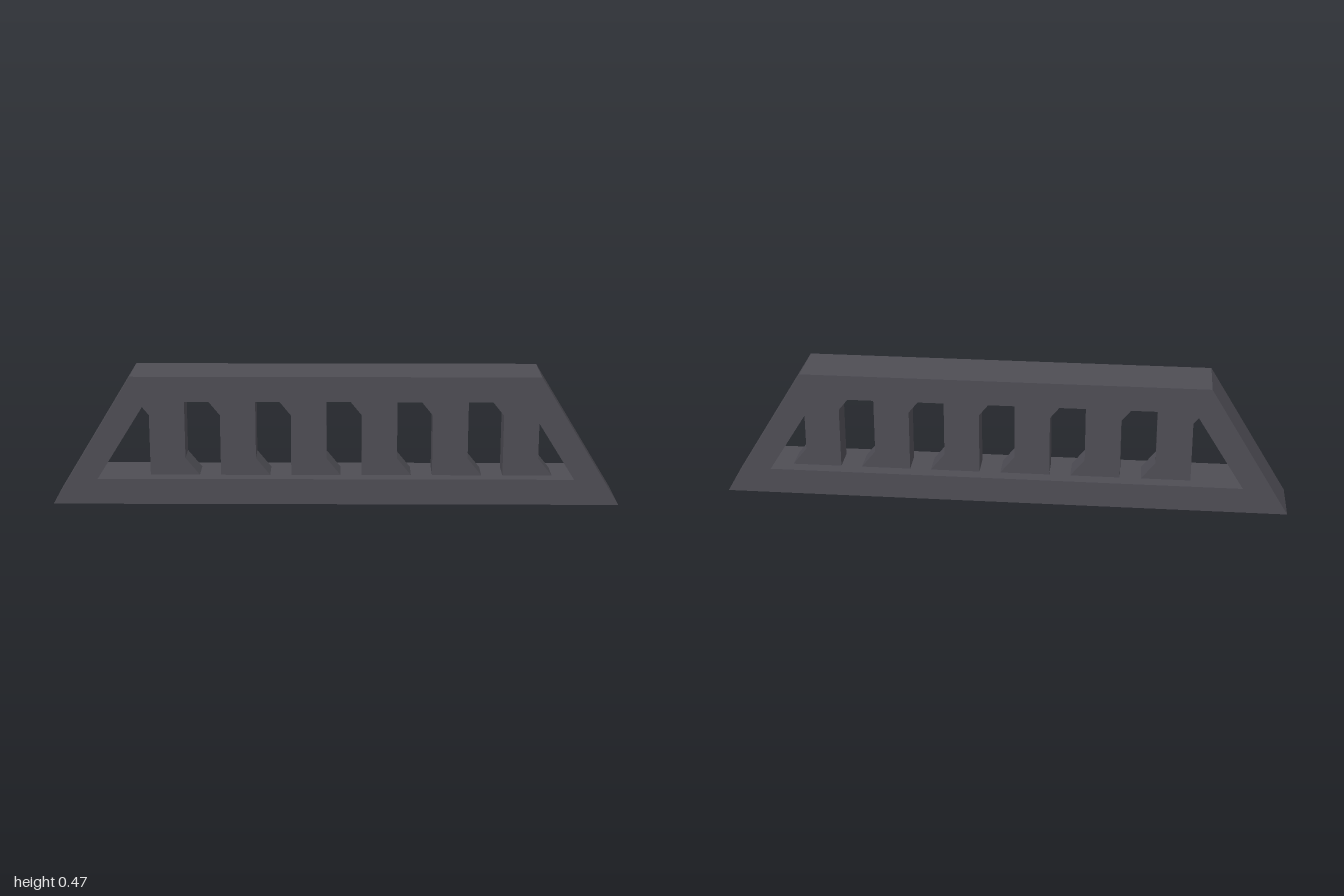
import * as THREE from 'three';

const material = new THREE.MeshStandardMaterial({ color: 0x4e4d54, flatShading: true });

// Closed outline from corner points
const outline = (pts, Type = THREE.Shape) => new Type(pts.map(([x, y]) => new THREE.Vector2(x, y)));

// Extrusion centred on z = 0
function slab(shape, depth, name) {
  const geometry = new THREE.ExtrudeGeometry(shape, { depth, bevelEnabled: false });
  geometry.translate(0, 0, -depth / 2);
  const mesh = new THREE.Mesh(geometry, material);
  mesh.name = name;
  return mesh;
}

export function createModel() {
  const group = new THREE.Group();
  group.name = 'slattedVent';

  const holeBottom = 0.093, holeTop = 0.375;

  // Trapezoid frame with a trapezoid opening
  const frame = outline([[-1, 0], [1, 0], [0.715, 0.465], [-0.715, 0.465]]);
  frame.holes.push(outline(
    [[-0.84, holeBottom], [-0.663, holeTop], [0.663, holeTop], [0.84, holeBottom]], THREE.Path));
  group.add(slab(frame, 0.195, 'frame'));

  // Row of slats, flared to one side at the foot and to the other at the head
  const w = 0.125, flare = 0.05, rise = 0.062;
  const slat = outline([
    [0, holeBottom], [w + flare, holeBottom], [w, holeBottom + rise],
    [w, holeTop], [-flare, holeTop], [0, holeTop - rise],
  ]);
  for (let i = 0; i < 6; i++) {
    const mesh = slab(slat, 0.097, `slat${i + 1}`);
    mesh.position.x = -0.658 + i * 0.25;
    group.add(mesh);
  }
  return group;
}
